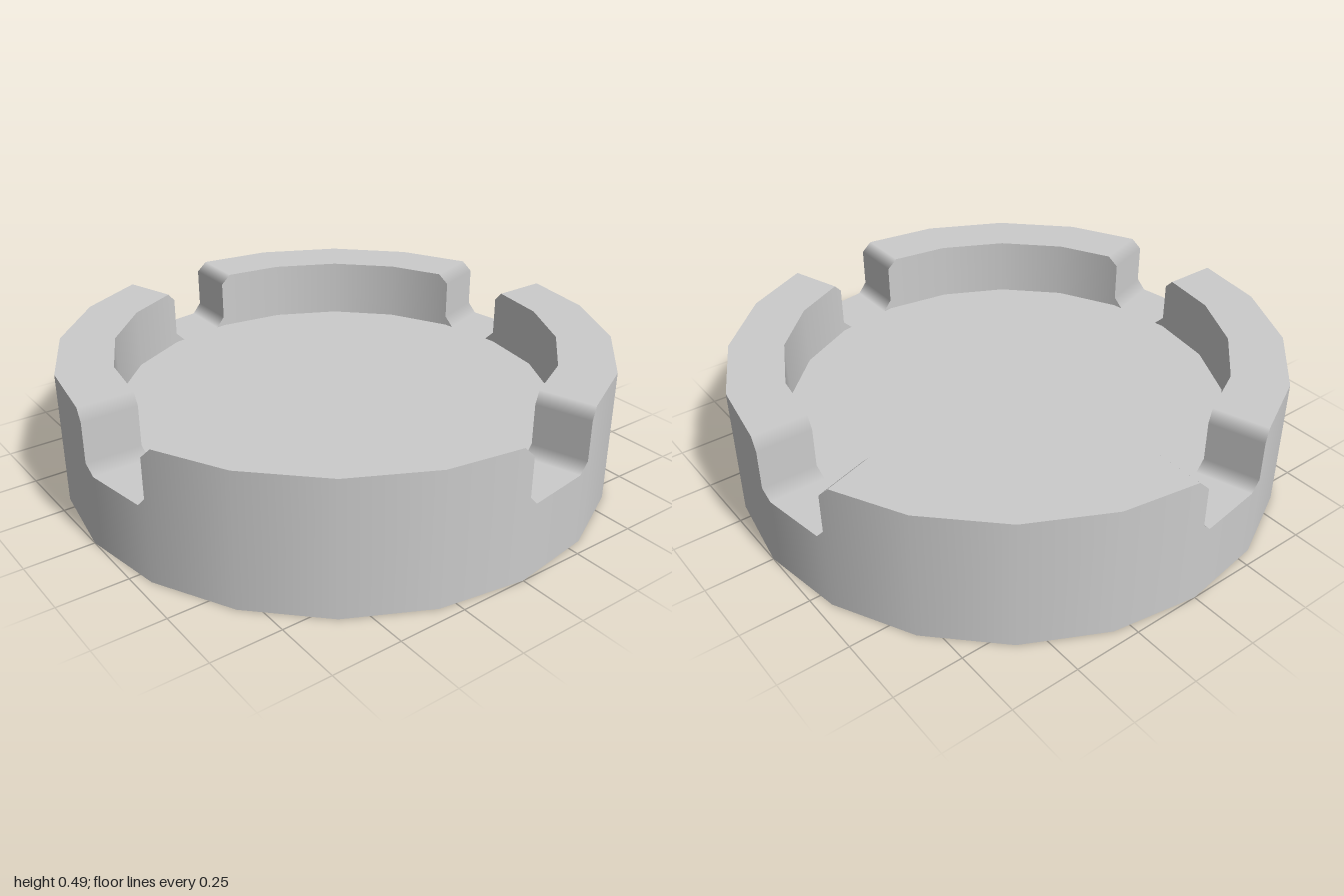
import * as THREE from 'three';

const SIDES = 20, OUTER = 1, INNER = 0.8;
const TOP = 0.49, FLOOR = 0.27, BEVEL = 0.037;
const STEP = (Math.PI * 2) / SIDES;
const UP = new THREE.Vector3(0, 1, 0);

// Polygon corner k, counted from the front towards +x
const corner = (k, r, y) => new THREE.Vector3(r * Math.sin(k * STEP), y, r * Math.cos(k * STEP));

// Point on the polygon, moved d units along a side from corner k
function onPolygon(k, d, r, y) {
  const t = Math.abs(d) / (2 * r * Math.sin(STEP / 2));
  return corner(k, r, y).lerp(corner(k + Math.sign(d), r, y), t);
}

const radial = (p, sign) => new THREE.Vector3(p.x, 0, p.z).normalize().multiplyScalar(sign);
const tangent = (k, sign) => new THREE.Vector3(Math.cos(k * STEP), 0, -Math.sin(k * STEP)).multiplyScalar(sign);

// Stations around the rim: each quarter has a one-side notch, then a four-side wall
function rimStations() {
  const list = [];
  const add = (k, d, y, normal) => list.push({
    outer: onPolygon(k, d, OUTER, y), inner: onPolygon(k, d, INNER, y), normal,
  });
  for (let q = 0; q < 4; q++) {
    const a = q * 5, b = a + 1;
    add(a, 0, TOP - BEVEL, tangent(a, 1));
    add(a, 0, FLOOR + BEVEL, tangent(a, 1));
    add(a, BEVEL, FLOOR, UP);
    add(b, -BEVEL, FLOOR, UP);
    add(b, 0, FLOOR + BEVEL, tangent(b, -1));
    add(b, 0, TOP - BEVEL, tangent(b, -1));
    add(b, BEVEL, TOP, UP);
    for (let k = 2; k < 5; k++) add(a + k, 0, TOP, UP);
    add(a + 5, -BEVEL, TOP, UP);
  }
  return list;
}

// Collects quads with chosen normals and turns them into a mesh
function quadMesh(name, material, quads) {
  const pos = [], nor = [];
  for (const { p, n } of quads) {
    for (const tri of [[0, 1, 2], [0, 2, 3]]) {
      const [a, b, c] = tri.map((i) => p[i]);
      const area = b.clone().sub(a).cross(c.clone().sub(a)).length();
      if (area < 1e-7) continue;
      for (const i of tri) {
        pos.push(...p[i].toArray());
        nor.push(...n[i].toArray());
      }
    }
  }
  const geo = new THREE.BufferGeometry();
  geo.setAttribute('position', new THREE.Float32BufferAttribute(pos, 3));
  geo.setAttribute('normal', new THREE.Float32BufferAttribute(nor, 3));
  const mesh = new THREE.Mesh(geo, material);
  mesh.name = name;
  return mesh;
}

export function createModel() {
  const group = new THREE.Group();
  group.name = 'ashtray';
  const material = new THREE.MeshStandardMaterial({ color: 0xcccccc });
  const stations = rimStations();
  const rim = [], outerWall = [], innerWall = [];

  stations.forEach((s, i) => {
    const e = stations[(i + 1) % stations.length];
    // Rim top, bevels and notch faces
    rim.push({ p: [s.inner, s.outer, e.outer, e.inner], n: [s.normal, s.normal, e.normal, e.normal] });
    // Outside wall down to the ground
    const o = [s.outer.clone().setY(0), e.outer.clone().setY(0), e.outer, s.outer];
    outerWall.push({ p: o, n: o.map((v) => radial(v, 1)) });
    // Inside wall down to the dish floor
    const w = [e.inner.clone().setY(FLOOR), s.inner.clone().setY(FLOOR), s.inner, e.inner];
    innerWall.push({ p: w, n: w.map((v) => radial(v, -1)) });
  });
  group.add(
    quadMesh('notchedRim', material, rim),
    quadMesh('outerWall', material, outerWall),
    quadMesh('innerWall', material, innerWall),
  );

  // Dish floor and underside
  const addDisc = (name, r, y, tilt) => {
    const disc = new THREE.Mesh(new THREE.CircleGeometry(r, SIDES).rotateX(tilt), material);
    disc.name = name;
    disc.position.y = y;
    group.add(disc);
  };
  addDisc('dishFloor', INNER, FLOOR, -Math.PI / 2);
  addDisc('underside', OUTER, 0, Math.PI / 2);
  return group;
}
